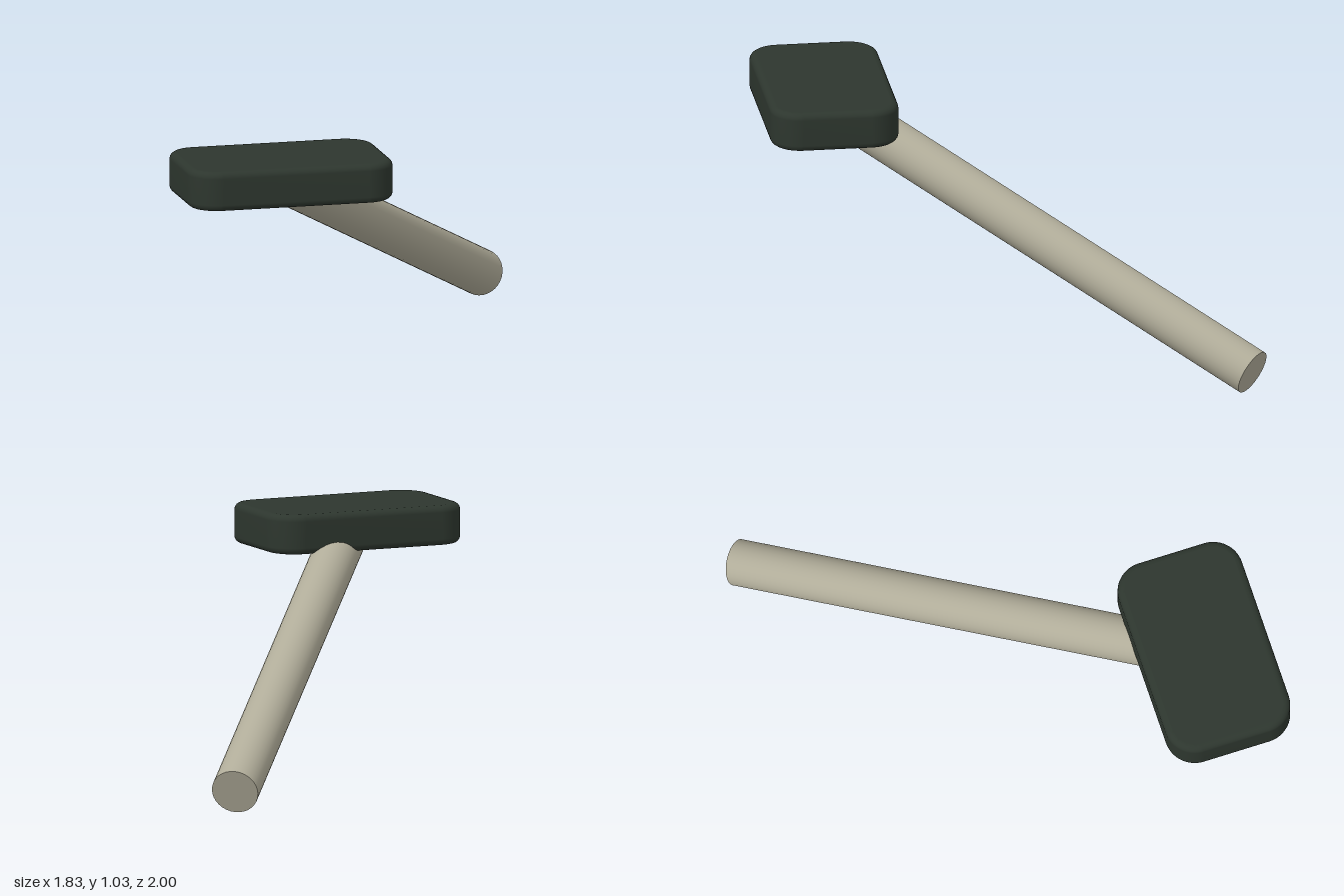
import * as THREE from 'three';
import { mergeVertices } from 'three/addons/utils/BufferGeometryUtils.js';

// Rectangle with rounded corners, centred on the origin
function roundedRect(w, h, r) {
  const s = new THREE.Shape();
  const x = w / 2 - r, y = h / 2 - r;
  s.absarc(x, y, r, 0, Math.PI / 2);
  s.absarc(-x, y, r, Math.PI / 2, Math.PI);
  s.absarc(-x, -y, r, Math.PI, Math.PI * 1.5);
  s.absarc(x, -y, r, Math.PI * 1.5, Math.PI * 2);
  s.closePath();
  return s;
}

export function createModel() {
  const group = new THREE.Group();
  const rubber = new THREE.MeshStandardMaterial({ name: 'dark green rubber', color: 0x2d362e });
  const wood = new THREE.MeshStandardMaterial({ name: 'pale grey wood', color: 0xb0ac99 });

  // Head: rounded slab with softened edges and smooth normals
  const width = 0.894, depth = 0.548, height = 0.17, bevel = 0.028;
  let slab = new THREE.ExtrudeGeometry(
    roundedRect(width - 2 * bevel, depth - 2 * bevel, 0.1),
    { depth: height - 2 * bevel, bevelThickness: bevel, bevelSize: bevel, bevelSegments: 4, curveSegments: 8 }
  );
  slab.translate(0, 0, bevel - height / 2);
  slab.rotateX(-Math.PI / 2);
  slab.deleteAttribute('normal');
  slab.deleteAttribute('uv');
  slab = mergeVertices(slab, 1e-4);
  slab.computeVertexNormals();
  const head = new THREE.Mesh(slab, rubber);
  head.name = 'head';
  head.position.set(-0.468, 0.95, 0.725);
  group.add(head);

  // Handle: round bar sloping from inside the head down to the ground
  const top = new THREE.Vector3(-0.47, 0.936, 0.72);
  const foot = new THREE.Vector3(0.833, 0.093, -0.932);
  const axis = top.clone().sub(foot);
  const handle = new THREE.Mesh(new THREE.CylinderGeometry(0.1, 0.1, axis.length(), 32), wood);
  handle.name = 'handle';
  handle.position.copy(top).add(foot).multiplyScalar(0.5);
  handle.quaternion.setFromUnitVectors(new THREE.Vector3(0, 1, 0), axis.normalize());
  group.add(handle);

  return group;
}
